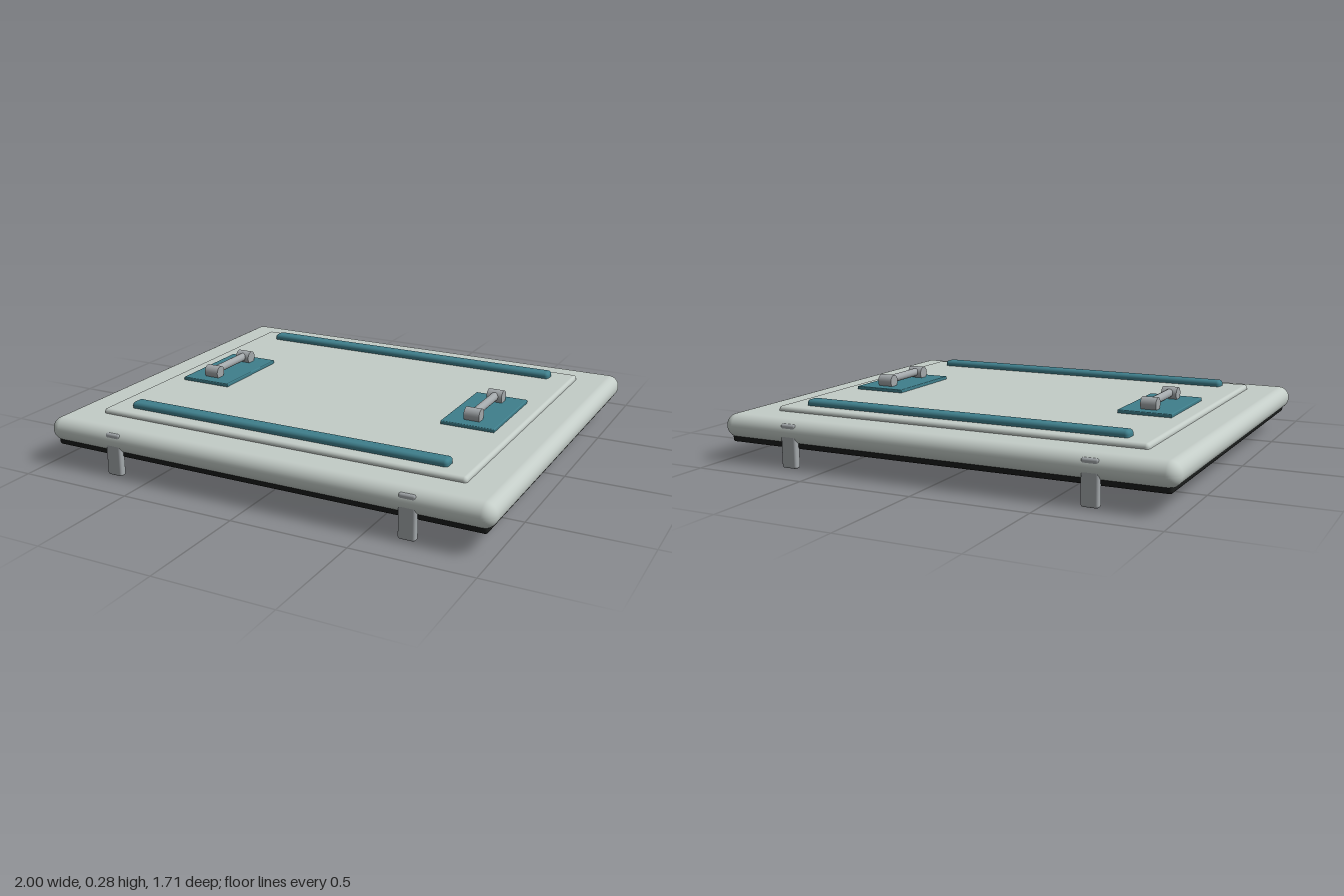
import * as THREE from 'three';
import { RoundedBoxGeometry } from 'three/addons/geometries/RoundedBoxGeometry.js';

export function createModel() {
  const model = new THREE.Group();
  model.name = 'hatchCover';

  const paint = (color) => new THREE.MeshStandardMaterial({ color });
  const shell = paint(0xc3ccc7);
  const rubber = paint(0x1a1c1b);
  const teal = paint(0x3f7f8c);
  const metal = paint(0xa3a8ab);

  const add = (parent, name, geometry, material, x, y, z) => {
    const mesh = new THREE.Mesh(geometry, material);
    mesh.name = name;
    mesh.position.set(x, y, z);
    parent.add(mesh);
    return mesh;
  };
  // Rounded box spanning y0 to y1, centred on x and z
  const slab = (parent, name, material, w, d, y0, y1, radius, x = 0, z = 0, segments = 4) =>
    add(parent, name, new RoundedBoxGeometry(w, y1 - y0, d, segments, radius),
      material, x, (y0 + y1) / 2, z);

  // Lid with a dark gasket below and a raised panel on top
  slab(model, 'gasket', rubber, 1.94, 1.66, 0.08, 0.13, 0.012);
  slab(model, 'lid', shell, 2, 1.71, 0.098, 0.2, 0.05, 0, 0, 6);
  slab(model, 'raisedPanel', shell, 1.665, 1.385, 0.18, 0.22, 0.015);

  // Long strips near the front and back edges
  for (const side of [-1, 1]) {
    slab(model, 'strip', teal, 1.46, 0.065, 0.205, 0.246, 0.016, 0, side * 0.598);
  }

  // Handles on their backing plates
  for (const side of [-1, 1]) {
    const handle = new THREE.Group();
    handle.name = side > 0 ? 'leftHandle' : 'rightHandle';
    handle.position.x = side * 0.638;
    model.add(handle);
    slab(handle, 'handlePlate', teal, 0.235, 0.414, 0.217, 0.234, 0.004);
    for (const end of [-1, 1]) {
      const mount = add(handle, 'handleMount', new THREE.CylinderGeometry(0.029, 0.029, 0.068, 24),
        metal, 0, 0.256, end * 0.132);
      mount.rotation.z = Math.PI / 2;
    }
    const grip = add(handle, 'handleGrip', new THREE.CylinderGeometry(0.018, 0.018, 0.264, 20),
      metal, 0, 0.26, 0);
    grip.rotation.x = Math.PI / 2;
  }

  // Clips hanging down through the front and back rims
  for (const x of [-0.665, 0.665]) {
    for (const side of [-1, 1]) {
      slab(model, 'clip', metal, 0.072, 0.034, 0, 0.185, 0.01, x, side * 0.835);
    }
  }

  return model;
}
